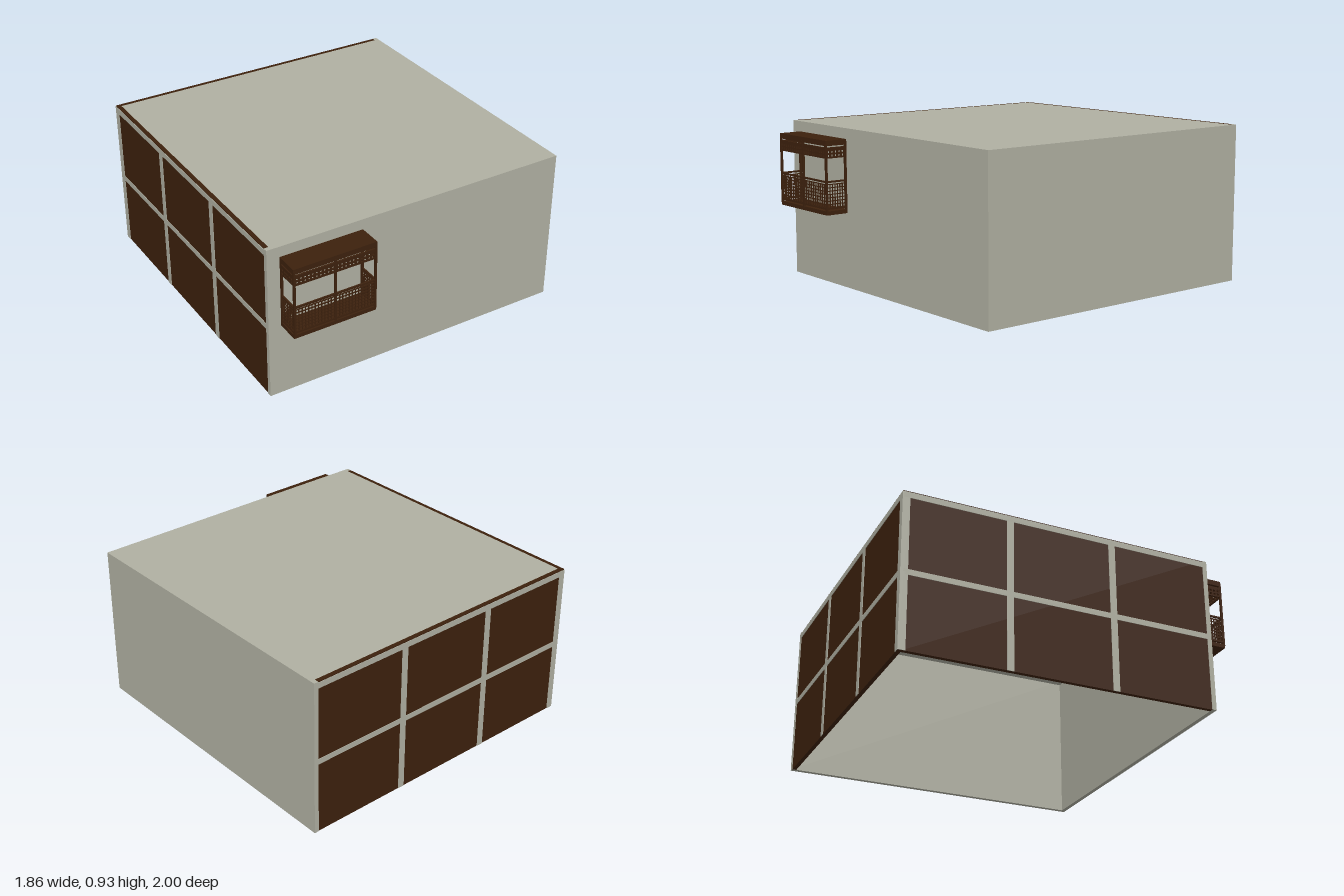
import * as THREE from 'three';

const plaster = new THREE.MeshStandardMaterial({ color: 0xb0b0a2 });
plaster.name = 'plaster';
const wood = new THREE.MeshStandardMaterial({ color: 0x3d210d });
wood.name = 'dark wood';

// Box given by its min and max on each axis
function block(parent, name, mat, x0, x1, y0, y1, z0, z1) {
  const mesh = new THREE.Mesh(new THREE.BoxGeometry(x1 - x0, y1 - y0, z1 - z0), mat);
  mesh.position.set((x0 + x1) / 2, (y0 + y1) / 2, (z0 + z1) / 2);
  mesh.name = name;
  parent.add(mesh);
  return mesh;
}

// Flat lattice in the local xy plane, centred on x = 0, starting at y = 0
function lattice(width, height, cols, rows, bar) {
  const g = new THREE.Group();
  g.name = 'lattice';
  for (let i = 0; i <= cols; i++) {
    const x = -width / 2 + (width * i) / cols;
    block(g, 'latticeUpright', wood, x - bar / 2, x + bar / 2, 0, height, -bar / 2, bar / 2);
  }
  for (let j = 0; j <= rows; j++) {
    const y = (height * j) / rows;
    block(g, 'latticeCrossbar', wood, -width / 2, width / 2, y - bar / 2, y + bar / 2, -bar / 2, bar / 2);
  }
  return g;
}

// One bay of the balcony screen: upper lattice, opening, hand rail, lower lattice
function screen(width, upperCols, lowerCols) {
  const g = new THREE.Group();
  g.name = 'screen';
  const h = width / 2;
  block(g, 'topBeam', wood, -h, h, 0.812, 0.828, -0.005, 0.005);
  const upper = lattice(width, 0.042, upperCols, 2, 0.009);
  upper.position.y = 0.77;
  g.add(upper);
  block(g, 'handRail', wood, -h, h, 0.626, 0.636, -0.005, 0.005);
  const lower = lattice(width, 0.134, lowerCols, 7, 0.005);
  lower.position.y = 0.482;
  g.add(lower);
  block(g, 'bottomRail', wood, -h, h, 0.472, 0.482, -0.005, 0.005);
  return g;
}

function createBalcony() {
  const g = new THREE.Group();
  g.name = 'balcony';
  const x0 = -0.855, x1 = -0.355, z0 = 0.86, z1 = 1, p = 0.012;
  const mid = (x0 + x1) / 2;
  block(g, 'balconyRoof', wood, x0, x1, 0.837, 0.868, z0, z1 - 0.002);
  block(g, 'balconyFloor', wood, x0, x1, 0.44, 0.463, z0, z1 - 0.002);

  // Corner posts and centre post
  for (const x of [x0, x1 - p]) {
    for (const z of [z0, z1 - p]) block(g, 'cornerPost', wood, x, x + p, 0.455, 0.855, z, z + p);
  }
  block(g, 'centrePost', wood, mid - p / 2, mid + p / 2, 0.455, 0.845, z1 - p, z1);

  // Two front bays and one bay on each side
  for (const s of [-1, 1]) {
    const front = screen(0.232, 10, 12);
    front.position.set(mid + s * 0.122, 0, z1 - p / 2);
    g.add(front);
    const side = screen(0.116, 5, 7);
    side.rotation.y = Math.PI / 2;
    side.position.set(mid + s * (0.25 - p / 2), 0, (z0 + z1) / 2);
    g.add(side);
  }
  return g;
}

export function createModel() {
  const model = new THREE.Group();
  model.name = 'house';
  const H = 0.93, W = 0.93, T = 0.027, F = 0.86, skin = 0.003;

  // Plaster shell, open below
  block(model, 'frontWall', plaster, -W, W, 0, H, F - T, F);
  block(model, 'rightWall', plaster, W - T, W, 0, H, -1, F - T);
  block(model, 'roof', plaster, -W + T, W - T, H - T, H, -1 + T, F - T);

  // Wooden walls on the back and on the -x side
  block(model, 'backWoodWall', wood, -W + skin, W - T, 0, H, -1 + skin, -1 + T);
  block(model, 'sideWoodWall', wood, -W + skin, -W + T, 0, H, -1 + T, F - T);

  // Plaster framing strips over the wooden walls
  const frame = new THREE.Group();
  frame.name = 'wallFraming';
  model.add(frame);
  const s = 0.02, top = 0.924;
  block(frame, 'backTopRail', plaster, -W, W - T, 0.89, top, -1, -1 + skin);
  block(frame, 'backMiddleRail', plaster, -W, W - T, 0.43, 0.463, -1, -1 + skin);
  block(frame, 'sideTopRail', plaster, -W, -W + skin, 0.89, top, -1 + skin, F - T);
  block(frame, 'sideMiddleRail', plaster, -W, -W + skin, 0.43, 0.463, -1 + skin, F - T);
  for (const x of [-W + s, -0.31, 0.31]) {
    block(frame, 'backPost', plaster, x - s, x + s, 0, top, -1, -1 + skin);
  }
  for (const z of [-1 + skin + s, -0.38, 0.24]) {
    block(frame, 'sidePost', plaster, -W, -W + skin, 0, top, z - s, z + s);
  }

  model.add(createBalcony());
  return model;
}
